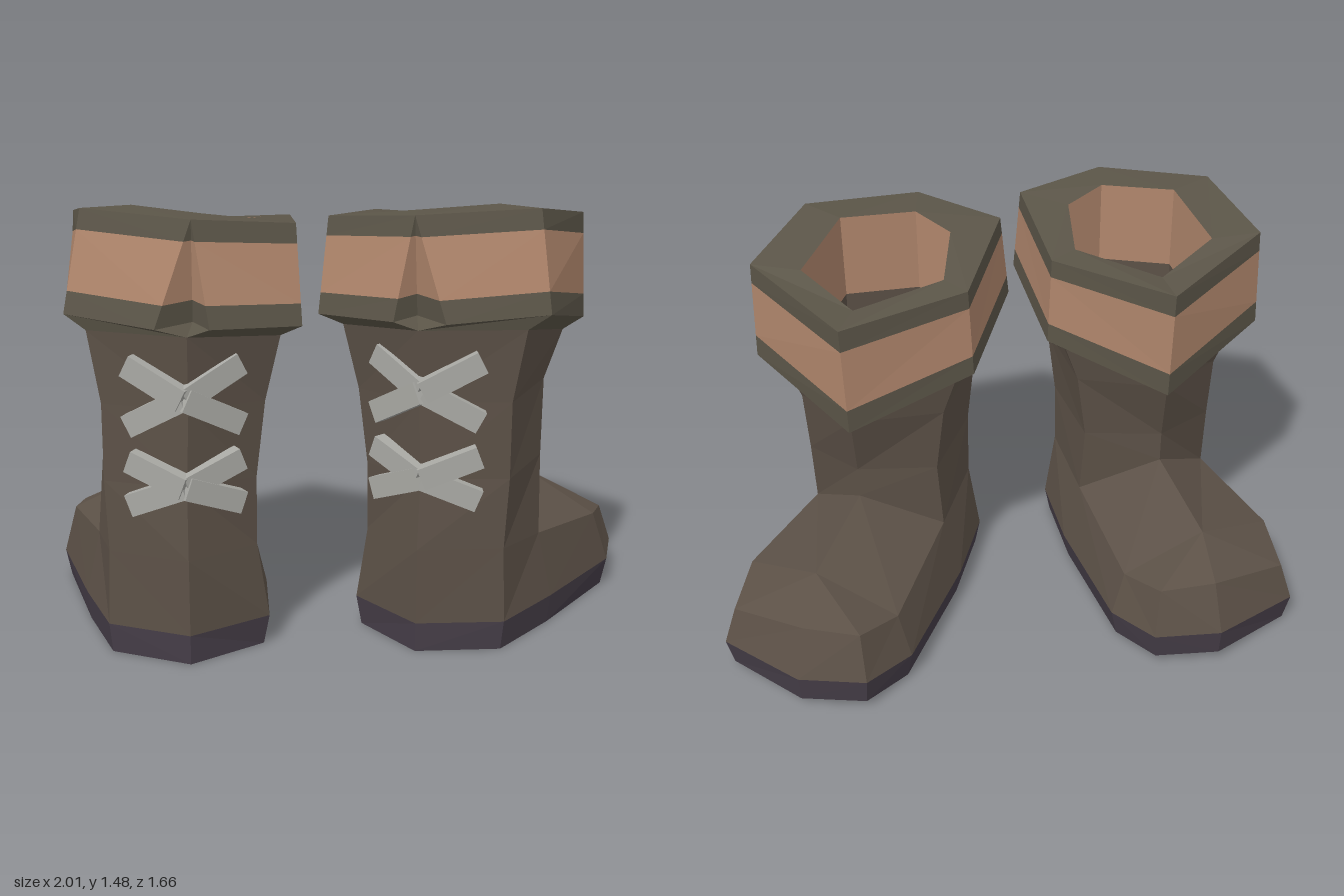
import * as THREE from 'three';

const mat = (name, color) => new THREE.MeshStandardMaterial({ name, color });

// Rings run heel-inner, heel, heel-outer, side-outer, (toe points), side-inner
const level = (y, pts) => pts.map(([x, z]) => [x, y, z]);
const mix = (a, b, t) => a.map((p, i) => p.map((v, k) => v + (b[i][k] - v) * t));

// Flat-faced skin through closed rings, lowest first
function loft(...rings) {
  const out = [];
  for (let r = 0; r + 1 < rings.length; r++) {
    const lo = rings[r], up = rings[r + 1], n = lo.length;
    for (let i = 0; i < n; i++) {
      const j = (i + 1) % n;
      out.push(lo[i], lo[j], up[j], lo[i], up[j], up[i]);
    }
  }
  return out;
}

// Polygon as a triangle fan
function fan(pts) {
  const out = [];
  for (let i = 1; i + 1 < pts.length; i++) out.push(pts[0], pts[i], pts[i + 1]);
  return out;
}

// Box bar between two points, lying flat against the upright shaft
function bar(a, b, width, thick) {
  const A = new THREE.Vector3(...a), B = new THREE.Vector3(...b);
  const d = B.clone().sub(A), len = d.length();
  d.normalize();
  const n = new THREE.Vector3(-d.z, 0, d.x).normalize();
  const w = new THREE.Vector3().crossVectors(n, d);
  const g = new THREE.BoxGeometry(len, width, thick).toNonIndexed();
  g.applyMatrix4(new THREE.Matrix4().makeBasis(d, w, n).setPosition(A.add(B).multiplyScalar(0.5)));
  const p = g.attributes.position, out = [];
  for (let i = 0; i < p.count; i++) out.push([p.getX(i), p.getY(i), p.getZ(i)]);
  return out;
}

// Shaft cross-sections
const ankle = [[.3, .36, .22], [.53, .36, .37], [.79, .36, .24], [.84, .33, -.04], [.6, .48, -.2], [.31, .33, -.1]];
const shin = level(.6, [[.3, .23], [.53, .345], [.8, .23], [.82, -.1], [.6, -.2], [.32, -.12]]);
const calf = level(.86, [[.27, .24], [.52, .345], [.8, .23], [.81, -.15], [.58, -.28], [.28, -.14]]);
const shaftTop = [[.22, 1.08, .26], [.52, 1.1, .37], [.84, 1.1, .22], [.86, 1.03, -.19], [.56, .95, -.31], [.23, 1.0, -.15]];

// Foot outlines
const soleTop = [[.26, .1, .22], [.53, .1, .37], [.8, .1, .24], [.89, .1, -.05], [1, .1, -.49],
  [.97, .11, -.69], [.63, .14, -.84], [.39, .14, -.8], [.29, .11, -.6], [.25, .1, -.1]];
const soleBottom = [[.28, 0, .22], [.53, 0, .37], [.79, 0, .24], [.88, 0, -.05], [.98, 0, -.49],
  [.95, .01, -.68], [.63, .04, -.83], [.4, .04, -.79], [.31, .01, -.6], [.27, 0, -.1]];
const toe = [[.95, .29, -.44], [.93, .25, -.66], [.62, .32, -.77], [.42, .31, -.75], [.34, .27, -.58]];
const shoulder = [...ankle.slice(0, 4), ...toe, ankle[5]];
const instep = [.64, .4, -.57];

// Collar: the heel point is tripled to form the slit
const split = r => [r[0], r[1], r[1], r[1], ...r.slice(2)];
const collarTop = [[.17, 1.44, .27], [.5, 1.465, .36], [.85, 1.48, .14], [.9, 1.43, -.25], [.5, 1.37, -.51], [.15, 1.41, -.23]];
const collarLow = [[.155, 1.12, .32], [.45, 1.13, .41], [.5, 1.14, .32], [.62, 1.13, .39],
  [.91, 1.15, .2], [.92, 1.07, -.24], [.5, .97, -.49], [.14, 1.09, -.22]];
const collarOuter = t => mix(split(collarTop), collarLow, t);

// Opening
const holeXZ = [[.31, .12], [.46, .2], [.69, .06], [.72, -.25], [.5, -.37], [.25, -.17]];
const holeRim = holeXZ.map(([x, z], i) => [x, collarTop[i][1], z]);
const holeLow = holeXZ.map(([x, z], i) => [x, collarTop[i][1] - .3, z]);
const holeMid = level(.9, [[.31, .11], [.47, .2], [.7, .06], [.73, -.14], [.56, -.25], [.31, -.1]]);
const floor = level(.12, [[.32, .1], [.47, .2], [.69, .07], [.73, -.05], [.57, -.17], [.34, -.08]]);

// Crossed laces, each strand bent over the heel ridge
function laces() {
  const out = [];
  for (const [y, h] of [[.61, .075], [.9, .1]]) {
    for (const s of [-1, 1]) {
      const mid = [.535, y, .36 + s * .005];
      out.push(...bar([.355, y - s * h, .285], mid, .075, .055));
      out.push(...bar(mid, [.71, y + s * h, .285], .075, .055));
    }
  }
  return out;
}

export function createModel() {
  const leather = mat('brown leather', 0x5c5147);
  const trim = mat('collar trim', 0x5b5548);
  const band = mat('tan band', 0xb0866c);
  const rubber = mat('dark sole', 0x453d47);
  const cord = mat('grey lace', 0xa9a9a4);

  const ridge = ankle[4];
  const [r1, r2, t1, t2, l1] = toe;
  const parts = [
    ['sole', rubber, [...fan([...soleBottom].reverse()), ...loft(soleBottom, soleTop)]],
    ['insole', rubber, fan(floor)],
    ['foot', leather, [
      ...loft(soleTop, shoulder),
      ...fan([ankle[3], r1, instep, ridge]),
      ...fan([instep, r1, r2, t1]),
      ...fan([instep, t1, t2, l1]),
      ...fan([ridge, instep, l1, ankle[5]]),
    ]],
    ['shaft', leather, loft(ankle, shin, calf, shaftTop)],
    ['collarLowerTrim', trim, loft(split(shaftTop), collarLow, collarOuter(.78))],
    ['collarBand', band, loft(collarOuter(.78), collarOuter(.2))],
    ['collarUpperTrim', trim, [...loft(collarOuter(.2), collarOuter(0)), ...loft(collarTop, holeRim)]],
    ['collarLining', band, loft(holeRim, holeLow)],
    ['shaftLining', leather, loft(holeLow, holeMid, floor)],
    ['laces', cord, laces()],
  ];

  const boot = (name, mirrored) => {
    const group = new THREE.Group();
    group.name = name;
    for (const [partName, material, points] of parts) {
      let pts = points;
      if (mirrored) {
        // Flip x and reverse each triangle so it still faces outward
        pts = points.map((_, i) => {
          const [x, y, z] = points[i - (i % 3) + (2 - (i % 3))];
          return [-x, y, z];
        });
      }
      const g = new THREE.BufferGeometry();
      g.setAttribute('position', new THREE.Float32BufferAttribute(pts.flat(), 3));
      g.computeVertexNormals();
      const mesh = new THREE.Mesh(g, material);
      mesh.name = partName;
      group.add(mesh);
    }
    return group;
  };

  const model = new THREE.Group();
  model.name = 'pairOfBoots';
  const left = boot('leftBoot', false);
  const right = boot('rightBoot', true);
  right.rotation.y = THREE.MathUtils.degToRad(28.4);
  right.position.set(.174, 0, .179);
  model.add(left, right);
  return model;
}
